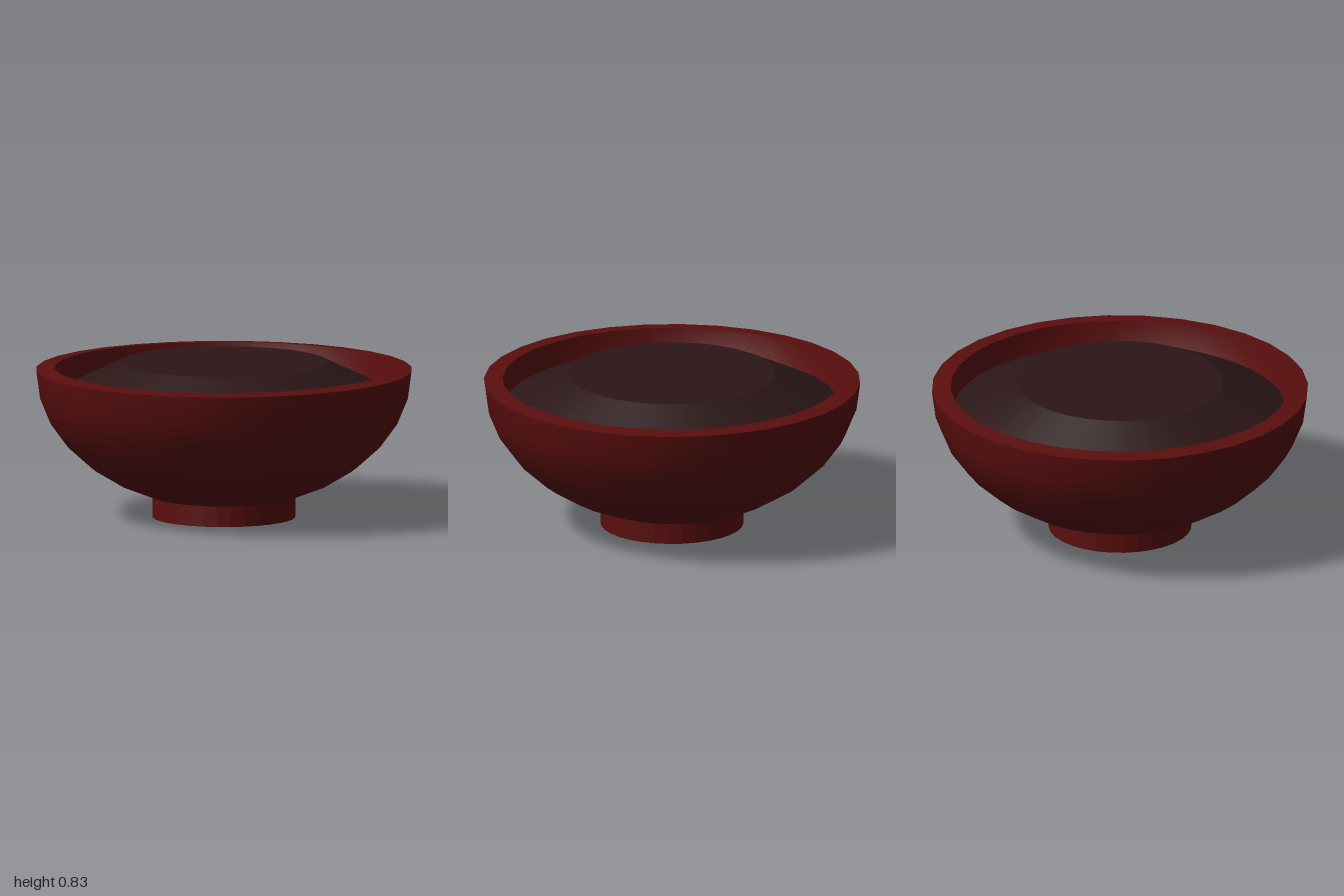
import * as THREE from 'three';

const SIDES = 32;

// Quarter of a squashed sphere, as [radius, y] points from the bottom up to the brim
function bowlCurve(radius, depth, brimY) {
  const points = [];
  for (let i = 0; i <= 8; i++) {
    const a = (i / 8) * Math.PI / 2;
    points.push([radius * Math.sin(a), brimY - depth * Math.cos(a)]);
  }
  return points;
}

// Turned surface; each separate profile keeps a sharp edge to its neighbours
function turned(name, profile, material) {
  const points = profile.map(([r, y]) => new THREE.Vector2(Math.max(r, 0), y));
  const mesh = new THREE.Mesh(new THREE.LatheGeometry(points, SIDES), material);
  mesh.name = name;
  return mesh;
}

export function createModel() {
  const model = new THREE.Group();
  model.name = 'soupBowl';

  const lacquer = new THREE.MeshStandardMaterial({ color: 0x5a0e0e });
  const footLacquer = new THREE.MeshStandardMaterial({ color: 0x5a0e0e, flatShading: true });
  const broth = new THREE.MeshStandardMaterial({ color: 0x2b1616 });

  // Bowl: outer wall, gently sloped rim, inner wall
  const bowl = new THREE.Group();
  bowl.name = 'bowl';
  bowl.add(
    turned('outerWall', bowlCurve(1, 0.735, 0.79), lacquer),
    turned('rim', [[1, 0.79], [0.9, 0.8]], lacquer),
    turned('innerWall', bowlCurve(0.9, 0.66, 0.8).reverse(), lacquer)
  );
  model.add(bowl);

  // Ring foot with an open centre
  model.add(turned('foot', [[0.19, 0.115], [0.19, 0], [0.38, 0], [0.38, 0.115]], footLacquer));

  // Heaped contents: sloped shoulder and flat top
  const contents = new THREE.Group();
  contents.name = 'contents';
  contents.add(
    turned('contentsSlope', [[0.883, 0.67], [0.55, 0.83]], broth),
    turned('contentsTop', [[0.55, 0.83], [0, 0.83]], broth)
  );
  model.add(contents);

  return model;
}
